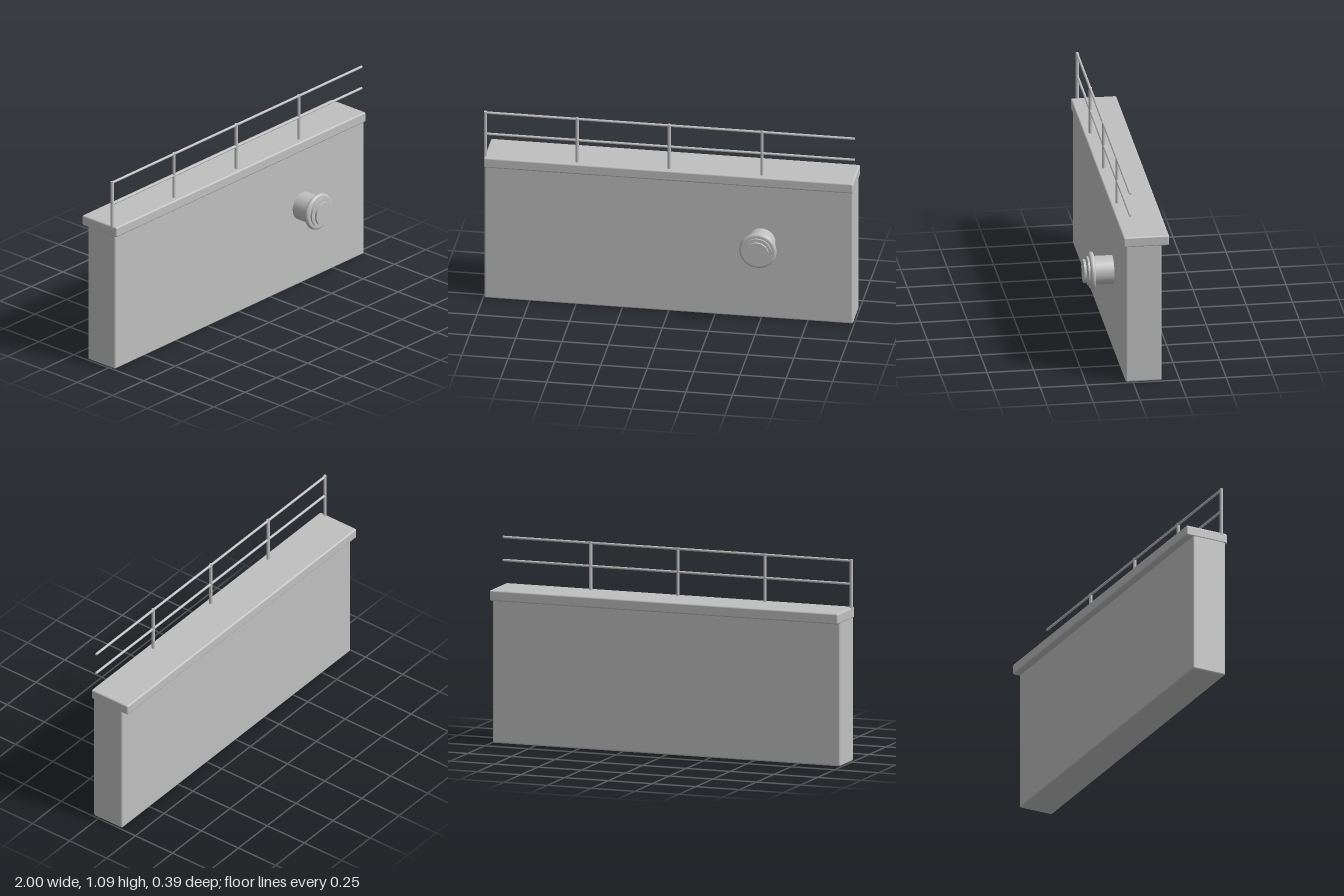
import * as THREE from 'three';
import { RoundedBoxGeometry } from 'three/addons/geometries/RoundedBoxGeometry.js';

export function createModel() {
  const model = new THREE.Group();
  const grey = new THREE.MeshStandardMaterial({ color: 0xc0c0c0 });
  grey.name = 'light grey';

  const add = (name, geometry, x, y, z, parent = model) => {
    const mesh = new THREE.Mesh(geometry, grey);
    mesh.name = name;
    mesh.position.set(x, y, z);
    parent.add(mesh);
    return mesh;
  };

  // Wall slab with softened edges, and the overhanging coping on top
  add('wall', new RoundedBoxGeometry(1.988, 0.79, 0.195, 2, 0.01), 0, 0.395, -0.0575);
  add('coping', new RoundedBoxGeometry(1.992, 0.058, 0.246, 3, 0.009), 0, 0.803, -0.072);

  // Railing: four posts and two long rails, open at the left end
  const railing = new THREE.Group();
  railing.name = 'railing';
  model.add(railing);
  const railZ = 0.016;
  [-0.991, -0.497, 0, 0.5].forEach((x) => {
    add('post', new THREE.CylinderGeometry(0.009, 0.009, 0.272, 16), x, 0.956, railZ, railing);
  });
  [0.96, 1.085].forEach((y) => {
    add('rail', new THREE.CylinderGeometry(0.007, 0.007, 1.992, 16), 0.004, y, railZ, railing)
      .rotation.z = Math.PI / 2;
  });

  // Pipe outlet with a rounded flange and a separate end plate
  const outlet = new THREE.Group();
  outlet.name = 'outlet';
  outlet.position.set(0.5, 0.451, 0);
  model.add(outlet);
  const disc = (name, radius, z0, z1) => {
    const geometry = new THREE.CylinderGeometry(radius, radius, z1 - z0, 48);
    geometry.rotateX(Math.PI / 2);
    add(name, geometry, 0, 0, (z0 + z1) / 2, outlet);
  };
  disc('pipe', 0.077, 0.03, 0.178);
  disc('endPlate', 0.064, 0.187, 0.199);

  // Flange rim: a flat ring with a half-round outer edge
  const rim = [new THREE.Vector2(0.07, -0.014)];
  for (let i = 0; i <= 10; i++) {
    const a = -Math.PI / 2 + (Math.PI * i) / 10;
    rim.push(new THREE.Vector2(0.087 + 0.014 * Math.cos(a), 0.014 * Math.sin(a)));
  }
  rim.push(new THREE.Vector2(0.07, 0.014));
  const flange = new THREE.LatheGeometry(rim, 48);
  flange.rotateX(Math.PI / 2);
  add('flange', flange, 0, 0, 0.154, outlet);

  return model;
}
